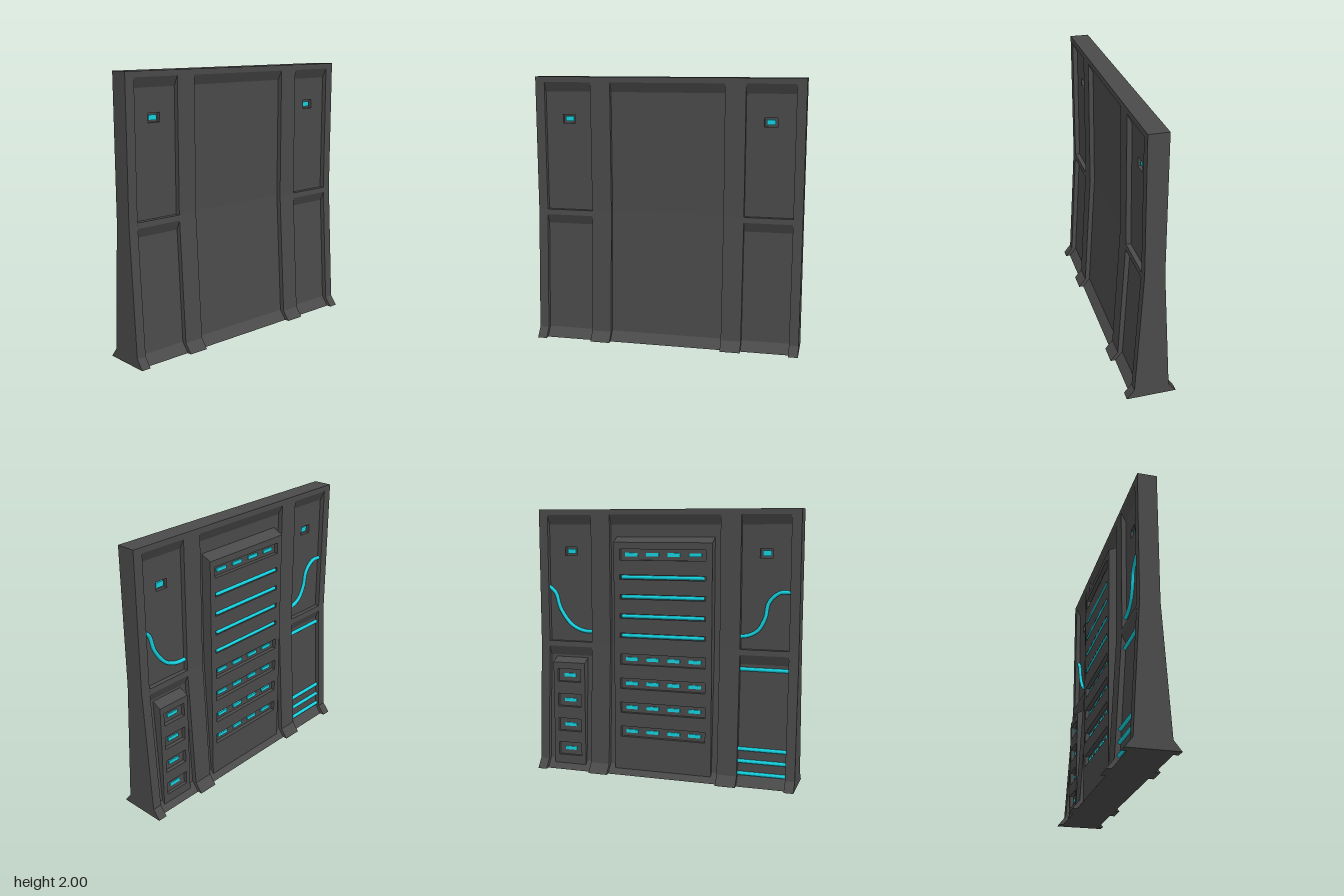
import * as THREE from 'three';

const grey = new THREE.MeshStandardMaterial({ color: 0x4a4a4a, flatShading: true });
const cyan = new THREE.MeshStandardMaterial({ color: 0x14d2e0 });

// Half profiles of the wall, [x, y] from the ground up
const pillar = [[0.18, 0], [0.125, 0.07], [0.07, 1], [0.07, 2]];
const top = [[0.035, 1.89], [0.07, 1.96], [0.07, 2]];
const foot = [[0.145, 0], [0.09, 0.07]];
const centrePanel = [...foot, [0.035, 1], ...top];
const lowerPanel = [...foot, [0.042, 0.89], [0.073, 0.96], [0.07, 1], [0.035, 1]];
const sidePanel = [...lowerPanel, ...top];
const portPanel = [...lowerPanel, [0.035, 1.655], [0.008, 1.655], [0.008, 1.72], [0.035, 1.72], ...top];

const mirrored = (half) => [...half, ...half.map(([x, y]) => [-x, y]).reverse()];
// Depth of the recessed lower panel at height y
const panelX = (y) => 0.09 - (0.048 * (y - 0.07)) / 0.82;

export function createModel() {
  const model = new THREE.Group();

  function add(parent, name, geometry, material, x = 0, y = 0, z = 0) {
    const mesh = new THREE.Mesh(geometry, material);
    mesh.name = name;
    mesh.position.set(x, y, z);
    parent.add(mesh);
    return mesh;
  }

  // Runs an x/y outline along z from z0 to z1
  function strip(parent, name, points, z0, z1) {
    const shape = new THREE.Shape(points.map(([x, y]) => new THREE.Vector2(x, y)));
    const geometry = new THREE.ExtrudeGeometry(shape, { depth: z1 - z0, bevelEnabled: false });
    return add(parent, name, geometry, grey, 0, 0, z0);
  }

  function rod(parent, name, x, y, z, length, radius) {
    const mesh = add(parent, name, new THREE.CapsuleGeometry(radius, length - 2 * radius, 4, 10), cyan, x, y, z);
    mesh.rotation.x = Math.PI / 2;
  }

  // Wall: pillars and recessed panels side by side
  const wall = new THREE.Group();
  wall.name = 'wall';
  model.add(wall);
  strip(wall, 'centrePanel', mirrored(centrePanel), -0.425, 0.425);
  const bays = [
    ['innerPillar', pillar, 0.425, 0.575],
    ['sidePanelInner', sidePanel, 0.575, 0.705],
    ['sidePanelPort', portPanel, 0.705, 0.8],
    ['sidePanelOuter', sidePanel, 0.8, 0.93],
    ['endPillar', pillar, 0.93, 1],
  ];
  for (const [name, half, a, b] of bays) {
    strip(wall, name, mirrored(half), a, b);
    strip(wall, name, mirrored(half), -b, -a);
  }

  // Small lights set in the ports, on both faces
  for (const x of [-0.014, 0.014]) {
    for (const z of [-0.7525, 0.7525]) {
      add(model, 'portLight', new THREE.BoxGeometry(0.014, 0.036, 0.064), cyan, x, 1.6875, z);
    }
  }

  // Equipment rack: sloped top, front with notches [y, height, depth], plain cheeks
  function rack(name, z, halfWidth, slotHalf, topY, notches) {
    const group = new THREE.Group();
    group.name = name;
    group.position.z = z;
    model.add(group);
    const front = -0.112;
    const cut = notches.flatMap(([y, h, d]) => [
      [front, y - h / 2], [front + d, y - h / 2], [front + d, y + h / 2], [front, y + h / 2],
    ]);
    const outline = (mid) => [[-0.02, 0.04], [front, 0.04], ...mid, [front, topY], [-0.02, topY + 0.046]];
    strip(group, 'rackFront', outline(cut), -slotHalf, slotHalf);
    strip(group, 'rackCheek', outline([]), -halfWidth, -slotHalf);
    strip(group, 'rackCheek', outline([]), slotHalf, halfWidth);
    return group;
  }

  const slotLight = (parent, y, z) =>
    add(parent, 'slotLight', new THREE.BoxGeometry(0.016, 0.026, 0.095), cyan, -0.084, y, z);

  // Tall rack in the middle
  const slots = [0.335, 0.52, 0.705, 0.89, 1.67];
  const bars = [1.07, 1.215, 1.36, 1.505];
  const notches = [...slots.map((y) => [y, 0.08, 0.03]), ...bars.map((y) => [y, 0.034, 0.014])];
  notches.sort((a, b) => a[0] - b[0]);
  const tall = rack('tallRack', 0, 0.377, 0.33, 1.76, notches);
  for (const y of slots) {
    for (const z of [-0.245, -0.082, 0.082, 0.245]) slotLight(tall, y, z);
  }
  for (const y of bars) rod(tall, 'lightBar', -0.104, y, 0, 0.64, 0.014);

  // Short rack in the lower side bay
  const shortSlots = [0.16, 0.35, 0.545, 0.74];
  const short = rack('shortRack', -0.753, 0.13, 0.095, 0.84, shortSlots.map((y) => [y, 0.1, 0.03]));
  for (const y of shortSlots) slotLight(short, y, 0);

  // Straight pipes across the other lower bay
  for (const y of [0.09, 0.18, 0.27, 0.855]) {
    rod(model, 'pipe', -panelX(y) - 0.006, y, 0.7525, 0.38, 0.014);
  }

  // Curved cables on the upper bays, points as [y, z]
  const cables = [
    [[1.42, -0.94], [1.37, -0.885], [1.25, -0.845], [1.13, -0.755], [1.085, -0.66], [1.08, -0.57]],
    [[1.415, 0.94], [1.41, 0.85], [1.34, 0.775], [1.23, 0.75], [1.14, 0.7], [1.1, 0.63], [1.09, 0.57]],
  ];
  for (const points of cables) {
    const curve = new THREE.CatmullRomCurve3(points.map(([y, z]) => new THREE.Vector3(-0.043, y, z)));
    add(model, 'cable', new THREE.TubeGeometry(curve, 40, 0.014, 10), cyan);
  }

  return model;
}
